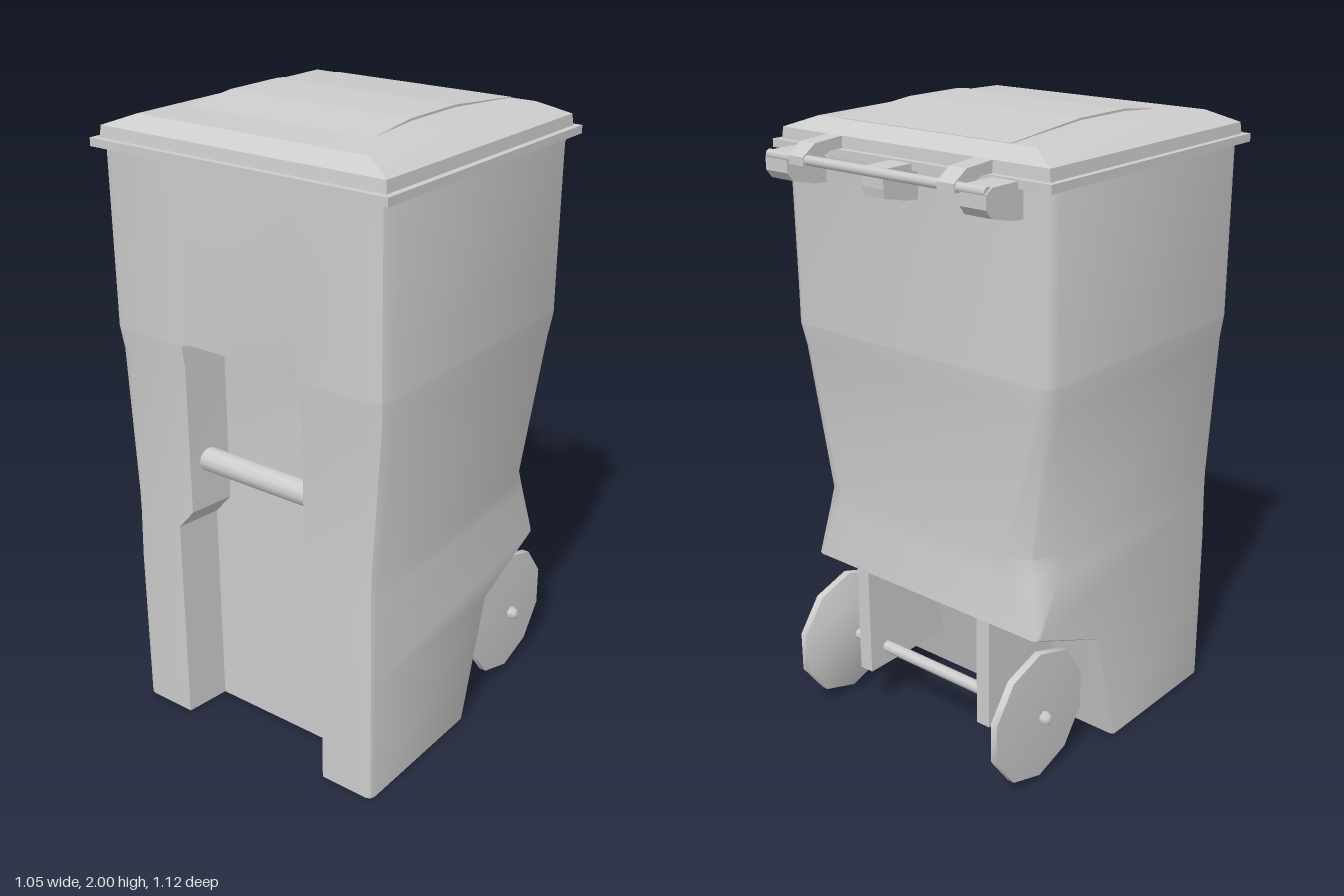
import * as THREE from 'three';
import { toCreasedNormals } from 'three/addons/utils/BufferGeometryUtils.js';

const material = new THREE.MeshStandardMaterial({ color: 0xcccccc, side: THREE.DoubleSide });

// Skin a stack of rings (bottom to top) that share a point count
function loft(rings, crease) {
  const n = rings[0].length, index = [];
  for (let r = 0; r < rings.length - 1; r++) {
    for (let i = 0; i < n; i++) {
      const a = r * n + i, b = r * n + (i + 1) % n;
      index.push(a, b, b + n, a, b + n, a + n);
    }
  }
  const g = new THREE.BufferGeometry();
  g.setAttribute('position', new THREE.Float32BufferAttribute(rings.flat(2), 3));
  g.setIndex(index);
  return toCreasedNormals(g, crease);
}

// Extrude a side profile of [z, y] points across x, centred on the given x
function sideProfile(points, width, x) {
  const shape = new THREE.Shape(points.map(([z, y]) => new THREE.Vector2(z, y)));
  const g = new THREE.ExtrudeGeometry(shape, { depth: width, bevelEnabled: false });
  return g.rotateY(-Math.PI / 2).translate(x + width / 2, 0, 0);
}

// Horizontal rod along x
function rod(radius, length, y, z, sides = 12) {
  return new THREE.CylinderGeometry(radius, radius, length, sides)
    .rotateZ(Math.PI / 2).translate(0, y, z);
}

// Body section: front notch, rounded front corners, chamfered back corners
function bodyRing([y, w, zf, zb, rf, rb, notch, depth]) {
  const half = [
    [notch - 0.02, zf - depth], [notch, zf],
    [w - rf, zf], [w - rf * 0.3, zf - rf * 0.3], [w, zf - rf],
    [w, zb + rb], [w - rb * 0.4, zb + rb * 0.3], [w - rb, zb],
  ];
  const left = half.map(([x, z]) => [x, y, z]);
  const right = half.map(([x, z]) => [-x, y, z]).reverse();
  return [...left, ...right];
}

const rect = (y, w, zb, zf) => [[-w, y, zf], [w, y, zf], [w, y, zb], [-w, y, zb]];

export function createModel() {
  const group = new THREE.Group();
  const add = (name, geometry) => {
    const mesh = new THREE.Mesh(geometry, material);
    mesh.name = name;
    group.add(mesh);
    return mesh;
  };

  // Body shell, open below: y, half width, front, back, corner radii, notch half width, notch depth
  add('body', loft([
    [0, 0.465, 0.535, 0.02, 0.02, 0.01, 0.28, 0.15],
    [0.41, 0.465, 0.535, -0.10, 0.02, 0.01, 0.28, 0.15],
    [0.53, 0.465, 0.535, -0.39, 0.02, 0.02, 0.28, 0.15],
    [0.70, 0.465, 0.535, -0.39, 0.03, 0.10, 0.28, 0.15],
    [0.77, 0.465, 0.535, -0.39, 0.03, 0.13, 0.22, 0.15],
    [1.25, 0.499, 0.535, -0.39, 0.05, 0.05, 0.22, 0.15],
    [1.325, 0.505, 0.545, -0.40, 0.05, 0.04, 0.22, 0.15],
    [1.33, 0.505, 0.545, -0.40, 0.05, 0.04, 0.22, 0.01],
    [1.45, 0.505, 0.545, -0.40, 0.05, 0.04, 0.22, 0],
    [1.88, 0.505, 0.545, -0.405, 0.05, 0.04, 0.22, 0],
  ].map(bodyRing), 0.65));

  // Grab bar across the front recess
  add('grabBar', rod(0.038, 0.43, 0.93, 0.46));

  // Lid: overhanging rim rising to a shallow crown
  add('lid', loft([
    rect(1.875, 0.47, -0.38, 0.51),
    rect(1.875, 0.525, -0.428, 0.56),
    rect(1.90, 0.525, -0.428, 0.56),
    rect(1.90, 0.505, -0.408, 0.54),
    rect(1.935, 0.502, -0.405, 0.535),
    rect(1.97, 0.41, -0.345, 0.478),
    rect(1.993, 0.325, -0.04, 0.175),
    rect(1.993, 0, 0.07, 0.07),
  ], 0.4));
  add('lidCentrePanel', sideProfile(
    [[0.48, 1.95], [0.478, 1.965], [0.175, 2], [-0.04, 2], [-0.345, 1.972], [-0.345, 1.95]], 0.65, 0));

  // Hinge: body brackets, lid arms and the rear bar
  const bracket = [[-0.38, 1.79], [-0.45, 1.795], [-0.535, 1.815], [-0.555, 1.84], [-0.555, 1.88],
    [-0.53, 1.895], [-0.38, 1.895]];
  const arm = [[-0.38, 1.90], [-0.45, 1.90], [-0.53, 1.87], [-0.56, 1.87], [-0.56, 1.895],
    [-0.51, 1.928], [-0.38, 1.937]];
  for (const s of [1, -1]) {
    add('hingeBracket', sideProfile(bracket, 0.09, s * 0.37));
    add('lidArm', sideProfile(arm, 0.06, s * 0.282));
  }
  add('centreBracket', sideProfile(bracket.map(([z, y]) => [Math.max(z, -0.54), y]), 0.08, 0));
  add('hingeBar', rod(0.015, 0.82, 1.885, -0.543, 8));

  // Axle plates under the body
  const plate = [[-0.39, 0.54], [-0.39, 0.16], [-0.02, 0.16], [-0.09, 0.41]];
  for (const s of [1, -1]) add('axlePlate', sideProfile(plate, 0.05, s * 0.255));

  // Axle, ten-sided wheels and hub nuts
  const [wy, wz] = [0.225, -0.315];
  add('axle', rod(0.02, 0.8, wy, wz, 8));
  const wheelProfile = [[0, -0.05], [0.13, -0.045], [0.217, -0.012], [0.217, 0.012], [0, 0.025]]
    .map(([r, h]) => new THREE.Vector2(r, h));
  for (const s of [1, -1]) {
    const tread = toCreasedNormals(new THREE.LatheGeometry(wheelProfile, 10, Math.PI / 10), 0.65)
      .rotateZ(-Math.PI / 2);
    const wheel = add('wheel', tread);
    wheel.position.set(s * 0.41, wy, wz);
    if (s < 0) wheel.rotation.y = Math.PI;
    add('hubNut', new THREE.SphereGeometry(0.025, 6, 4).rotateZ(Math.PI / 2))
      .position.set(s * 0.44, wy, wz);
  }
  return group;
}
